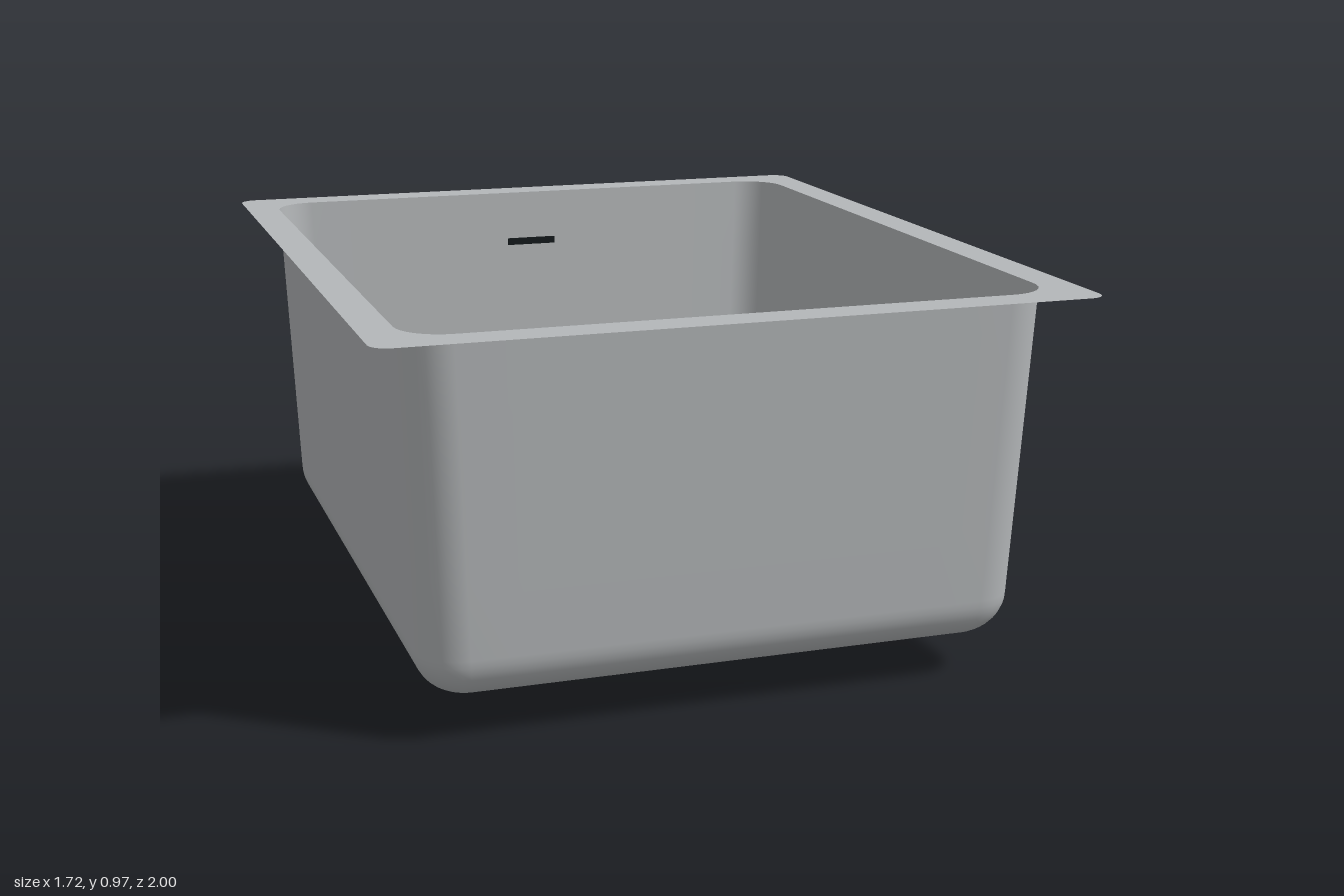
import * as THREE from 'three';

const steel = new THREE.MeshStandardMaterial({ color: 0xb4b7b9, side: THREE.DoubleSide });
steel.name = 'brushed steel';
const black = new THREE.MeshStandardMaterial({ color: 0x14191b, side: THREE.DoubleSide });
black.name = 'black';

const TOP = 0.973, HX = 0.775, HZ = 0.908, DRAIN_Z = -0.322, DRAIN_R = 0.228;

// Points round a rectangle with rounded corners, the straight sides subdivided
function roundedLoop(hx, hz, r, corner = 8, side = 10) {
  const pts = [];
  const signs = [[1, 1], [-1, 1], [-1, -1], [1, -1]];
  const arcPoint = (q, t) => {
    const a = (q + t) * Math.PI / 2;
    return new THREE.Vector2(signs[q][0] * (hx - r) + r * Math.cos(a), signs[q][1] * (hz - r) + r * Math.sin(a));
  };
  for (let q = 0; q < 4; q++) {
    for (let i = 0; i <= corner; i++) pts.push(arcPoint(q, i / corner));
    const a = arcPoint(q, 1), b = arcPoint((q + 1) % 4, 0);
    for (let i = 1; i < side; i++) pts.push(a.clone().lerp(b, i / side));
  }
  return pts;
}

// Skin a stack of equal-length closed loops
function loft(rows) {
  const n = rows[0].pts.length, pos = [], index = [];
  for (const { pts, y } of rows) for (const p of pts) pos.push(p.x, y, p.y);
  for (let j = 0; j < rows.length - 1; j++) {
    for (let i = 0; i < n; i++) {
      const k = (i + 1) % n, a = j * n + i, b = j * n + k;
      index.push(a, b, a + n, b, b + n, a + n);
    }
  }
  const g = new THREE.BufferGeometry();
  g.setAttribute('position', new THREE.Float32BufferAttribute(pos, 3));
  g.setIndex(index);
  g.computeVertexNormals();
  return g;
}

export function createModel() {
  const sink = new THREE.Group();
  sink.name = 'sink';
  const add = (name, geometry, material, x = 0, y = 0, z = 0) => {
    const m = new THREE.Mesh(geometry, material);
    m.name = name;
    m.position.set(x, y, z);
    sink.add(m);
    return m;
  };

  // Flat flange with the bowl opening cut out
  const flange = new THREE.Shape(roundedLoop(0.862, 1, 0.045));
  flange.holes.push(new THREE.Path(roundedLoop(HX, HZ, 0.11)));
  add('flange', new THREE.ShapeGeometry(flange).rotateX(-Math.PI / 2), steel, 0, TOP, 0);

  // Bowl: tapered walls, rounded bottom edge, floor falling to the drain
  const rows = [];
  const ring = (inset, y, r) => rows.push({ pts: roundedLoop(HX - inset, HZ - inset, r), y });
  for (let i = 0; i < 4; i++) ring(0.03 * i / 4, TOP - 0.763 * i / 4, 0.11);
  const fillet = 0.113;
  for (let i = 0; i <= 10; i++) {
    const a = i / 10 * Math.PI / 2, d = fillet * (1 - Math.cos(a));
    ring(0.03 + d, 0.21 - fillet * Math.sin(a), 0.11 - 0.75 * d);
  }
  const edge = rows[rows.length - 1];
  const centre = new THREE.Vector2(0, DRAIN_Z);
  const circle = edge.pts.map(p => p.clone().sub(centre).setLength(DRAIN_R).add(centre));
  for (const t of [0.05, 0.25, 0.5, 0.75, 1]) {
    rows.push({ pts: edge.pts.map((p, i) => p.clone().lerp(circle[i], t)), y: edge.y + (0.07 - edge.y) * t });
  }
  add('bowl', loft(rows), steel);

  // Drain: seat ring, flared throat and straight outlet
  const seat = [[DRAIN_R, 0.07], [0.195, 0.068]].map(p => new THREE.Vector2(...p));
  add('drainSeat', new THREE.LatheGeometry(seat, 64), steel, 0, 0, DRAIN_Z);
  const throat = [[0.195, 0.068], [0.186, 0.062], [0.177, 0.051], [0.17, 0.04], [0.167, 0.03], [0.167, 0]]
    .map(p => new THREE.Vector2(...p));
  add('drainThroat', new THREE.LatheGeometry(throat, 64), steel, 0, 0, DRAIN_Z);
  add('outletOpening', new THREE.CircleGeometry(0.166, 64).rotateX(Math.PI / 2), black, 0, 0.001, DRAIN_Z);

  // Strainer plate with two rings of holes and a centre knob
  add('strainer', new THREE.CylinderGeometry(0.168, 0.168, 0.006, 64), steel, 0, 0.032, DRAIN_Z);
  for (const [count, radius] of [[18, 0.118], [12, 0.073]]) {
    for (let i = 0; i < count; i++) {
      const a = i / count * Math.PI * 2;
      add('strainerHole', new THREE.CylinderGeometry(0.012, 0.012, 0.003, 12), black,
        radius * Math.cos(a), 0.0355, DRAIN_Z + radius * Math.sin(a));
    }
  }
  add('strainerKnob', new THREE.CylinderGeometry(0.03, 0.032, 0.01, 32), steel, 0, 0.039, DRAIN_Z);

  // Overflow slot high on the back wall
  add('overflowSlot', new THREE.BoxGeometry(0.145, 0.02, 0.005), black, 0, 0.825, -0.898);

  return sink;
}
